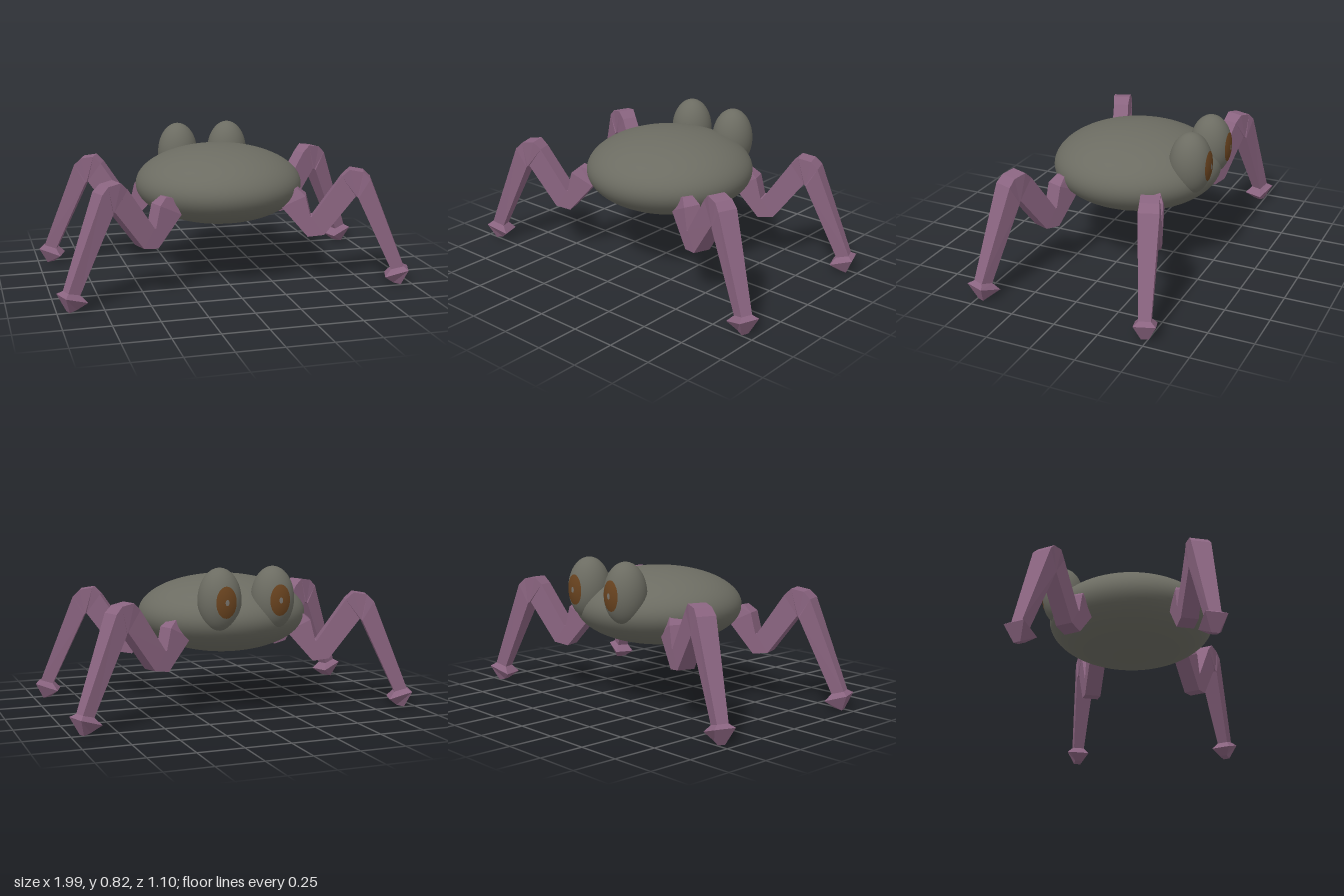
import * as THREE from 'three';

const material = (name, color) => {
  const m = new THREE.MeshStandardMaterial({ color });
  m.name = name;
  return m;
};

// Leg sections in the leg's own plane: outer x, y, inner x, y, half width
const LEG = [
  [0.385, 0.545, 0.345, 0.535, 0.03], // hip cap
  [0.43, 0.505, 0.305, 0.44, 0.048],  // hip
  [0.457, 0.387, 0.445, 0.272, 0.048], // lower joint
  [0.465, 0.387, 0.53, 0.285, 0.048],
  [0.615, 0.62, 0.69, 0.51, 0.045],   // knee
  [0.655, 0.66, 0.695, 0.508, 0.05],
  [0.725, 0.648, 0.699, 0.506, 0.05],
  [0.762, 0.61, 0.703, 0.5, 0.055],
  [0.95, 0.11, 0.885, 0.09, 0.032],   // ankle
  [0.975, 0.092, 0.856, 0.05, 0.058], // foot
  [0.94, 0, 0.9, 0.01, 0.02],         // toe tip
];

// Square-section loft through the leg sections, mirrored by sx and sz
function legGeometry(sx, sz, hipZ, slope) {
  const len = Math.hypot(1, slope);
  const pos = [];
  const idx = [];
  for (const [ox, oy, ix, iy, w] of LEG) {
    for (const [x, y, s] of [[ox, oy, -w], [ox, oy, w], [ix, iy, w], [ix, iy, -w]]) {
      pos.push(sx * (x - (slope / len) * s), y, sz * (hipZ + slope * (x - 0.36) + s / len));
    }
  }
  const tri = (a, b, c) => (sx * sz > 0 ? idx.push(a, b, c) : idx.push(a, c, b));
  const quad = (a, b, c, d) => { tri(a, b, c); tri(a, c, d); };
  for (let i = 0; i < LEG.length - 1; i++) {
    for (let j = 0; j < 4; j++) {
      const k = (j + 1) % 4;
      quad(i * 4 + j, i * 4 + k, i * 4 + 4 + k, i * 4 + 4 + j);
    }
  }
  const e = (LEG.length - 1) * 4;
  quad(3, 2, 1, 0);
  quad(e, e + 1, e + 2, e + 3);
  const indexed = new THREE.BufferGeometry();
  indexed.setAttribute('position', new THREE.Float32BufferAttribute(pos, 3));
  indexed.setIndex(idx);
  const geo = indexed.toNonIndexed();
  geo.computeVertexNormals();
  return geo;
}

export function createModel() {
  const model = new THREE.Group();
  model.name = 'fourLeggedCreature';
  const skin = material('greyGreenSkin', 0x6c6c62);
  const shell = material('mauveLeg', 0x8a6480);
  shell.flatShading = true;
  const brown = material('brownIris', 0x69431f);
  const grey = material('greyPupil', 0x77736c);

  const add = (name, geo, mat, parent = model) => {
    const mesh = new THREE.Mesh(geo, mat);
    mesh.name = name;
    parent.add(mesh);
    return mesh;
  };

  // Flattened round body
  const body = add('body', new THREE.SphereGeometry(1, 64, 40), skin);
  body.scale.set(0.475, 0.218, 0.476);
  body.position.set(0.005, 0.535, -0.025);

  // Bulging eyes looking towards -z
  const cap = (angle, scale) => new THREE.SphereGeometry(1, 32, 8, 0, Math.PI * 2, 0, angle)
    .rotateX(-Math.PI / 2).scale(0.118 * scale, 0.175 * scale, 0.118 * scale);
  for (const [side, x] of [['left', 0.16], ['right', -0.147]]) {
    const eye = new THREE.Group();
    eye.name = side + 'Eye';
    eye.position.set(x, 0.65, -0.408);
    add('eyeball', new THREE.SphereGeometry(1, 40, 28).scale(0.118, 0.175, 0.118), skin, eye);
    add('iris', cap(0.5, 1.012), brown, eye);
    add('pupil', cap(0.09, 1.02), grey, eye);
    model.add(eye);
  }

  // Four jointed legs
  for (const sx of [1, -1]) {
    for (const sz of [1, -1]) {
      const name = (sz > 0 ? 'front' : 'back') + (sx > 0 ? 'Left' : 'Right') + 'Leg';
      const hipZ = sx * sz > 0 ? 0.262 : 0.285;
      add(name, legGeometry(sx, sz, hipZ, sx * sz > 0 ? 0.37 : 0.345), shell);
    }
  }
  return model;
}
